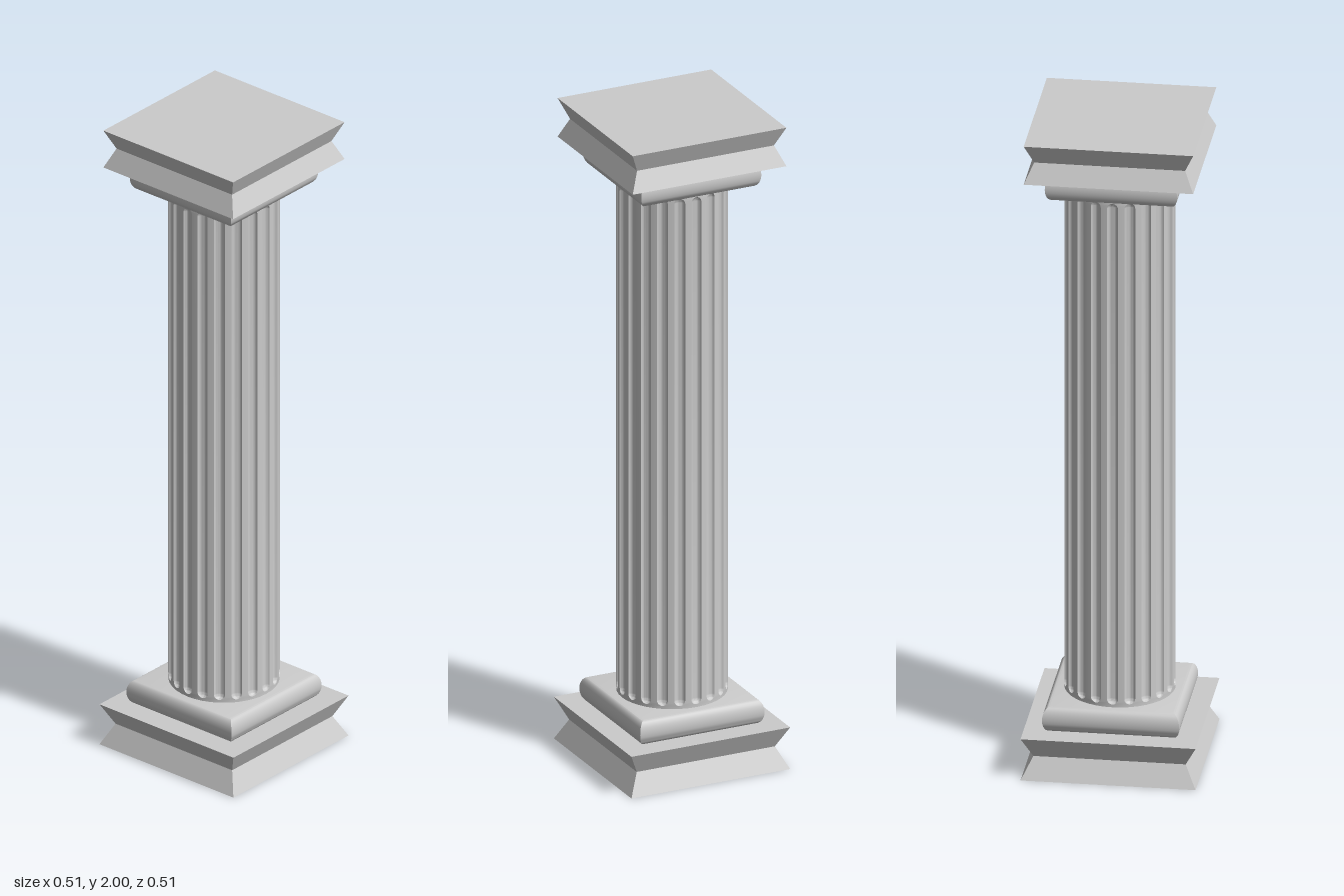
import * as THREE from 'three';
import { toCreasedNormals } from 'three/addons/utils/BufferGeometryUtils.js';

const material = new THREE.MeshStandardMaterial({ color: 0xcccccc });

function addPart(group, name, geometry) {
  const mesh = new THREE.Mesh(toCreasedNormals(geometry, 0.6), material);
  mesh.name = name;
  group.add(mesh);
}

// Square block swept from a profile of [half width, height], bottom to top
function squareBlock(profile) {
  const closed = [[0, profile[0][1]], ...profile, [0, profile[profile.length - 1][1]]];
  const points = closed.map(([half, y]) => new THREE.Vector2(half * Math.SQRT2, y));
  return new THREE.LatheGeometry(points, 4, Math.PI / 4);
}

// Slab with sides pinched in at mid height
const pinchedSlab = (y0, y1, half, waist) =>
  squareBlock([[half, y0], [waist, (y0 + y1) / 2], [half, y1]]);

// Square cushion with rounded sides
function cushion(y0, y1, half, bulge = 0.02) {
  const profile = [];
  for (let i = 0; i <= 12; i++) {
    const a = -Math.PI / 2 + (i / 12) * Math.PI;
    profile.push([half - bulge + bulge * Math.cos(a), (y0 + y1) / 2 + ((y1 - y0) / 2) * Math.sin(a)]);
  }
  return squareBlock(profile);
}

// Round shaft with hollow flutes that close in rounded ends
function flutedShaft(y0, y1, radius, flutes) {
  const halfWidth = 0.016, depth = 0.012, margin = 0.009, arcSteps = 6, cuts = 8;

  // Rows of [height, flute opening from 0 to 1]
  const lower = [[y0, 0]];
  for (let i = 0; i <= arcSteps; i++) {
    const a = (i / arcSteps) * Math.PI / 2;
    lower.push([y0 + margin + halfWidth * (1 - Math.cos(a)), Math.sin(a)]);
  }
  const rows = [...lower, ...lower.map(([y, open]) => [y0 + y1 - y, open]).reverse()];

  const positions = [], index = [];
  const pitch = (2 * Math.PI) / flutes;
  const columns = flutes * (cuts + 2);
  for (const [y, open] of rows) {
    const spread = (halfWidth / radius) * Math.max(open, 0.02);
    for (let f = 0; f < flutes; f++) {
      for (let c = 0; c <= cuts + 1; c++) {
        // The last column of each flute is the middle of the land
        const t = -Math.cos((c / cuts) * Math.PI);
        const land = c > cuts;
        const angle = f * pitch + (land ? pitch / 2 : t * spread);
        const r = land ? radius : radius - depth * open * Math.sqrt(Math.max(0, 1 - t * t));
        positions.push(r * Math.sin(angle), y, r * Math.cos(angle));
      }
    }
  }
  for (let j = 0; j < rows.length - 1; j++) {
    for (let i = 0; i < columns; i++) {
      const next = (i + 1) % columns;
      const a = j * columns + i, b = j * columns + next;
      const c = a + columns, d = b + columns;
      index.push(a, b, d, a, d, c);
    }
  }
  const geometry = new THREE.BufferGeometry();
  geometry.setAttribute('position', new THREE.Float32BufferAttribute(positions, 3));
  geometry.setIndex(index);
  return geometry;
}

export function createModel() {
  const column = new THREE.Group();
  column.name = 'column';

  // Base
  addPart(column, 'plinth', pinchedSlab(0, 0.13, 0.255, 0.222));
  addPart(column, 'baseCushion', cushion(0.13, 0.205, 0.2));

  // Shaft
  addPart(column, 'flutedShaft', flutedShaft(0.205, 1.805, 0.161, 20));

  // Capital
  addPart(column, 'capitalCushion', cushion(1.805, 1.88, 0.193));
  addPart(column, 'capitalSlab', pinchedSlab(1.88, 2, 0.247, 0.22));

  return column;
}
